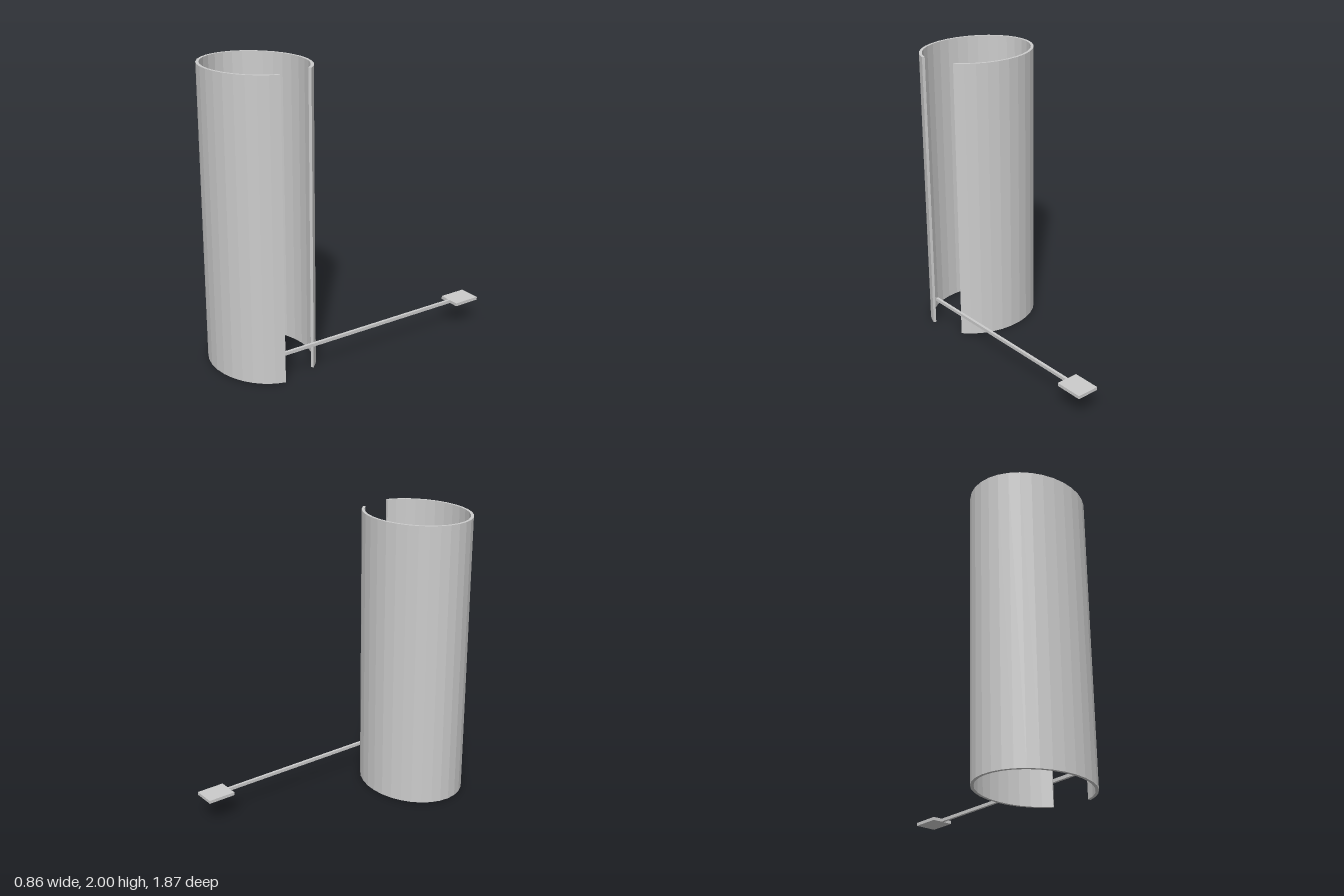
import * as THREE from 'three';

const material = new THREE.MeshStandardMaterial({ color: 0xcccccc, flatShading: true });

// Points along the open elliptical arc, as (x, z)
function arcPoints(rx, rz) {
  const points = [];
  for (let i = 1; i <= 29; i++) {
    const a = (i / 32) * Math.PI * 2;
    points.push(new THREE.Vector2(-0.018 + rx * Math.cos(a), 0.594 + rz * Math.sin(a)));
  }
  return points;
}

function box(name, w, h, d, x, y, z) {
  const mesh = new THREE.Mesh(new THREE.BoxGeometry(w, h, d), material);
  mesh.position.set(x, y, z);
  mesh.name = name;
  return mesh;
}

export function createModel() {
  const group = new THREE.Group();
  group.name = 'openTubeWithHandle';

  // Thin elliptical wall with a full-height gap on its left side
  const outline = [...arcPoints(0.412, 0.342), ...arcPoints(0.392, 0.323).reverse()];
  const wallGeometry = new THREE.ExtrudeGeometry(new THREE.Shape(outline), {
    depth: 2, bevelEnabled: false,
  });
  wallGeometry.rotateX(Math.PI / 2).translate(0, 2, 0);
  const wall = new THREE.Mesh(wallGeometry, material);
  wall.name = 'curvedWall';
  group.add(wall);

  // Long bar running back from the wall's front edge, ending in a flat pad
  group.add(box('bar', 0.019, 0.022, 1.402, 0.351, 0.185, -0.044));
  group.add(box('pad', 0.156, 0.022, 0.195, 0.35, 0.185, -0.8405));

  return group;
}
